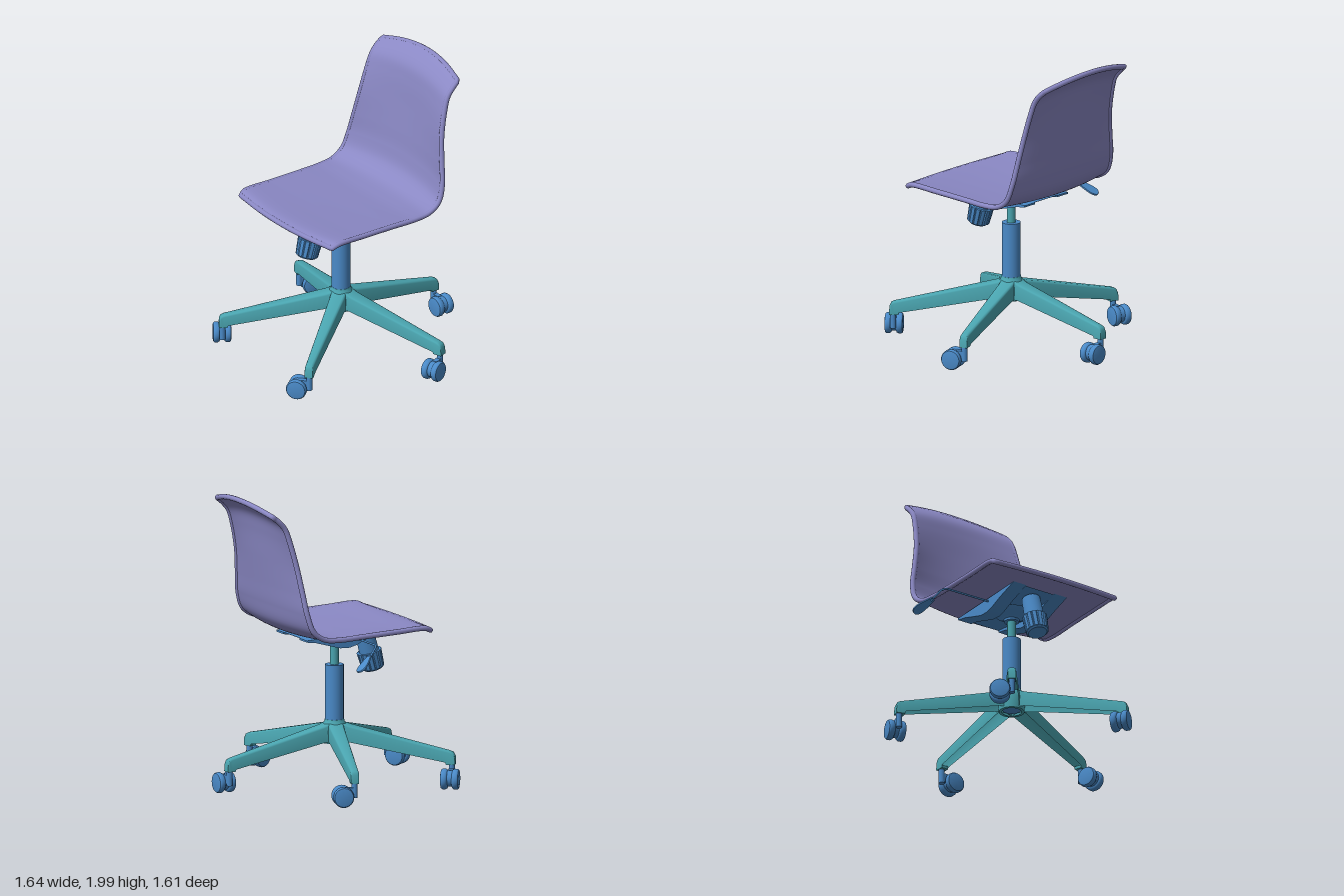
import * as THREE from 'three';
import { toCreasedNormals } from 'three/addons/utils/BufferGeometryUtils.js';
import { ParametricGeometry } from 'three/addons/geometries/ParametricGeometry.js';

const V = (x, y, z) => new THREE.Vector3(x, y, z);
const mat = (color) => new THREE.MeshStandardMaterial({ color, side: THREE.DoubleSide });
const CX = -0.022, CZ = 0.045; // column axis

function add(parent, name, geometry, material, x = 0, y = 0, z = 0) {
  const mesh = new THREE.Mesh(geometry, material);
  mesh.name = name;
  mesh.position.set(x, y, z);
  parent.add(mesh);
  return mesh;
}

const lathe = (pts, seg = 40) =>
  toCreasedNormals(new THREE.LatheGeometry(pts.map(p => new THREE.Vector2(...p)), seg), 0.6);

// Extrudes a (z, y) outline sideways from x0 to x1
function extrudeX(pts, x0, x1) {
  const shape = new THREE.Shape(pts.map(p => new THREE.Vector2(...p)));
  const geo = new THREE.ExtrudeGeometry(shape, { depth: x1 - x0, bevelEnabled: false });
  geo.rotateY(-Math.PI / 2).translate(x1, 0, 0);
  return toCreasedNormals(geo, 0.6);
}

// Seat shell: rows of centre z, y, edge z, y and half width, from front lip to top of back
function buildSeat(material) {
  const rows = [
    [0.555, 1.082, 0.52, 1.09, 0.485], [0.5, 1.092, 0.48, 1.108, 0.492],
    [0.25, 1.08, 0.25, 1.102, 0.492], [0, 1.07, 0, 1.093, 0.494],
    [-0.2, 1.068, -0.17, 1.088, 0.5], [-0.34, 1.092, -0.28, 1.1, 0.503],
    [-0.42, 1.16, -0.355, 1.15, 0.503], [-0.455, 1.28, -0.395, 1.26, 0.49],
    [-0.475, 1.42, -0.415, 1.4, 0.46], [-0.5, 1.6, -0.44, 1.57, 0.426],
    [-0.525, 1.78, -0.48, 1.74, 0.407], [-0.55, 1.88, -0.515, 1.84, 0.4],
    [-0.6, 1.945, -0.56, 1.895, 0.4], [-0.66, 1.99, -0.605, 1.932, 0.396],
  ];
  const centre = new THREE.CatmullRomCurve3(rows.map(r => V(0, r[1], r[0])));
  const edge = new THREE.CatmullRomCurve3(rows.map(r => V(r[4], r[3], r[2])));
  const surface = (u, v) => {
    const s = 2 * u - 1, c = centre.getPoint(v), e = edge.getPoint(v), k = s * s;
    return V(e.x * s - 0.008, c.y + (e.y - c.y) * k, c.z + (e.z - c.z) * k);
  };
  // Point moved behind the sitting surface by d
  const offset = (u, v, d) => {
    const h = 0.004, c = (t) => Math.min(1, Math.max(0, t));
    const du = surface(c(u + h), v).sub(surface(c(u - h), v));
    const dv = surface(u, c(v + h)).sub(surface(u, c(v - h)));
    return surface(u, v).addScaledVector(du.cross(dv).normalize(), -d);
  };
  const seat = new THREE.Group();
  seat.name = 'seat';
  add(seat, 'seatFront', new ParametricGeometry((u, v, t) => t.copy(surface(u, v)), 24, 80), material);
  add(seat, 'seatUnderside',
    new ParametricGeometry((u, v, t) => t.copy(offset(1 - u, v, 0.02)), 24, 80), material);

  // Rolled rim around the whole outline
  const loop = [], n = 50, m = 16, d = 0.014;
  for (let i = 0; i < n; i++) loop.push(offset(1, i / n, d));
  for (let i = 0; i < m; i++) loop.push(offset(1 - i / m, 1, d));
  for (let i = 0; i < n; i++) loop.push(offset(0, 1 - i / n, d));
  for (let i = 0; i < m; i++) loop.push(offset(i / m, 0, d));
  const path = new THREE.CatmullRomCurve3(loop, true);
  add(seat, 'seatRim', new THREE.TubeGeometry(path, 300, 0.018, 10, true), material);
  return seat;
}

// Leg: hollow channel lofted along +z, open below
function legGeometry() {
  const rows = [ // distance, top, bottom, half width
    [0.03, 0.43, 0.295, 0.052], [0.1, 0.405, 0.295, 0.05], [0.74, 0.255, 0.172, 0.029],
    [0.775, 0.247, 0.157, 0.028], [0.797, 0.237, 0.156, 0.028],
    [0.808, 0.215, 0.156, 0.027], [0.81, 0.157, 0.156, 0.027],
  ];
  const pos = [], idx = [];
  rows.forEach(([r, top, bot, w], i) => {
    const b = Math.min(0.014, (top - bot) / 2);
    for (const [x, y] of [[-w, bot], [-w, top - b], [-w + b * 0.3, top - b * 0.3], [-w + b, top],
      [w - b, top], [w - b * 0.3, top - b * 0.3], [w, top - b], [w, bot]]) pos.push(x, y, r);
    if (i) for (let j = 0; j < 7; j++) {
      const a = (i - 1) * 8 + j, c = a + 8;
      idx.push(a, c, a + 1, a + 1, c, c + 1);
    }
  });
  const geo = new THREE.BufferGeometry();
  geo.setAttribute('position', new THREE.Float32BufferAttribute(pos, 3));
  geo.setIndex(idx);
  return toCreasedNormals(geo, 0.8);
}

function buildBase(teal, blue) {
  const base = new THREE.Group();
  base.name = 'base';
  base.position.set(CX, 0, CZ);
  add(base, 'hub', lathe([[0.064, 0.285], [0.085, 0.285], [0.09, 0.37], [0.083, 0.405],
    [0.068, 0.425], [0.064, 0.442], [0.03, 0.442]]), teal);
  const legGeo = legGeometry();
  const wheelGeo = lathe([[0, -0.024], [0.05, -0.024], [0.063, -0.018], [0.069, -0.008],
    [0.069, 0.012], [0.063, 0.021], [0.05, 0.024], [0, 0.024]], 32).rotateX(Math.PI / 2);
  for (let i = 0; i < 5; i++) {
    const leg = new THREE.Group();
    leg.name = 'legWithCaster';
    leg.rotation.y = Math.PI + i * Math.PI * 2 / 5;
    add(leg, 'leg', legGeo, teal);
    add(leg, 'legTip', new THREE.BoxGeometry(0.052, 0.02, 0.06), teal, 0, 0.166, 0.778);
    add(leg, 'casterStem', new THREE.CylinderGeometry(0.02, 0.02, 0.1, 20), blue, 0, 0.11, 0.785);
    add(leg, 'casterArm', new THREE.BoxGeometry(0.07, 0.06, 0.034), blue, -0.03, 0.1, 0.785);
    add(leg, 'casterHood', new THREE.CylinderGeometry(0.054, 0.054, 0.034, 28).rotateX(Math.PI / 2),
      blue, -0.079, 0.075, 0.785);
    for (const s of [-1, 1]) {
      const wheel = add(leg, 'casterWheel', wheelGeo, blue, -0.079, 0.071, 0.785 + s * 0.037);
      if (s < 0) wheel.rotation.y = Math.PI;
    }
    base.add(leg);
  }
  return base;
}

function buildMechanism(blue) {
  const mech = new THREE.Group();
  mech.name = 'tiltMechanism';
  // Mounting plate, shallow pan and two bowed side flanges
  const bow = [[0.355, 1.066], [0.2, 1.012], [0.1, 0.968], [0.05, 0.955], [-0.02, 0.957],
    [-0.12, 0.985], [-0.2, 1.008], [-0.27, 1.018], [-0.27, 1.03]];
  const pan = bow.map(([z, y], i) => [z, i < 8 ? y + (1.05 - y) * 0.45 : y]);
  add(mech, 'pan', extrudeX(pan, -0.13, 0.105), blue);
  add(mech, 'flangeRight', extrudeX(bow, -0.23, -0.125), blue);
  add(mech, 'flangeLeft', extrudeX(bow, 0.1, 0.205), blue);
  add(mech, 'neck', lathe([[0, 0.94], [0.05, 0.94], [0.052, 0.955], [0.07, 0.97],
    [0.105, 0.985], [0.13, 1.01]]), blue, CX, 0, CZ);

  // Tension knob, tilted forward, with grooves around the grip
  const knob = new THREE.Group();
  knob.name = 'tensionKnob';
  knob.position.set(CX, 1.015, 0.265);
  knob.rotation.x = -0.27;
  add(knob, 'knobBarrel', new THREE.CylinderGeometry(0.062, 0.066, 0.16, 36), blue, 0, -0.07, 0);
  const grip = new THREE.CylinderGeometry(0.084, 0.076, 0.115, 84, 1);
  const p = grip.attributes.position;
  for (let i = 0; i < p.count; i++) {
    const seg = Math.round((Math.atan2(p.getX(i), p.getZ(i)) / (2 * Math.PI) + 1) * 84) % 6;
    const k = seg === 0 ? 0.91 : 1;
    p.setX(i, p.getX(i) * k).setZ(i, p.getZ(i) * k);
  }
  add(knob, 'knobGrip', toCreasedNormals(grip, 0.4), blue, 0, -0.202, 0);
  add(knob, 'knobCap', new THREE.CylinderGeometry(0.072, 0.062, 0.012, 36), blue, 0, -0.265, 0);
  mech.add(knob);

  // Height lever: bent rod ending in a flat paddle
  const rod = new THREE.CurvePath();
  const pts = [V(-0.15, 1.03, 0.065), V(-0.575, 1.028, 0.065), V(-0.6, 1.015, 0.045), V(-0.635, 0.955, -0.02)];
  for (let i = 0; i < 3; i++) rod.add(new THREE.LineCurve3(pts[i], pts[i + 1]));
  add(mech, 'leverRod', new THREE.TubeGeometry(rod, 40, 0.007, 8), blue);
  const outline = new THREE.Shape();
  outline.moveTo(-0.012, 0);
  outline.bezierCurveTo(-0.03, 0.06, -0.055, 0.155, 0, 0.155);
  outline.bezierCurveTo(0.055, 0.155, 0.03, 0.06, 0.012, 0);
  const paddle = add(mech, 'leverPaddle', new THREE.ExtrudeGeometry(outline,
    { depth: 0.006, bevelSize: 0.004, bevelThickness: 0.004, bevelSegments: 2 }), blue);
  const along = V(-0.075, -0.08, -0.115).normalize();
  const across = V(1, 0, 0).addScaledVector(along, -along.x).normalize();
  paddle.quaternion.setFromRotationMatrix(
    new THREE.Matrix4().makeBasis(across, along, across.clone().cross(along)));
  paddle.position.set(-0.625, 0.965, -0.01);
  return mech;
}

export function createModel() {
  const purple = mat(0x8a88c4), blue = mat(0x4a8ac8), teal = mat(0x4aa5b0);
  const model = new THREE.Group();
  model.name = 'swivelChair';
  model.add(buildSeat(purple), buildBase(teal, blue), buildMechanism(blue));
  // Gas column
  add(model, 'columnSleeve', new THREE.CylinderGeometry(0.062, 0.062, 0.51, 40), blue, CX, 0.555, CZ);
  add(model, 'columnRod', new THREE.CylinderGeometry(0.029, 0.029, 0.16, 28), teal, CX, 0.88, CZ);
  return model;
}
